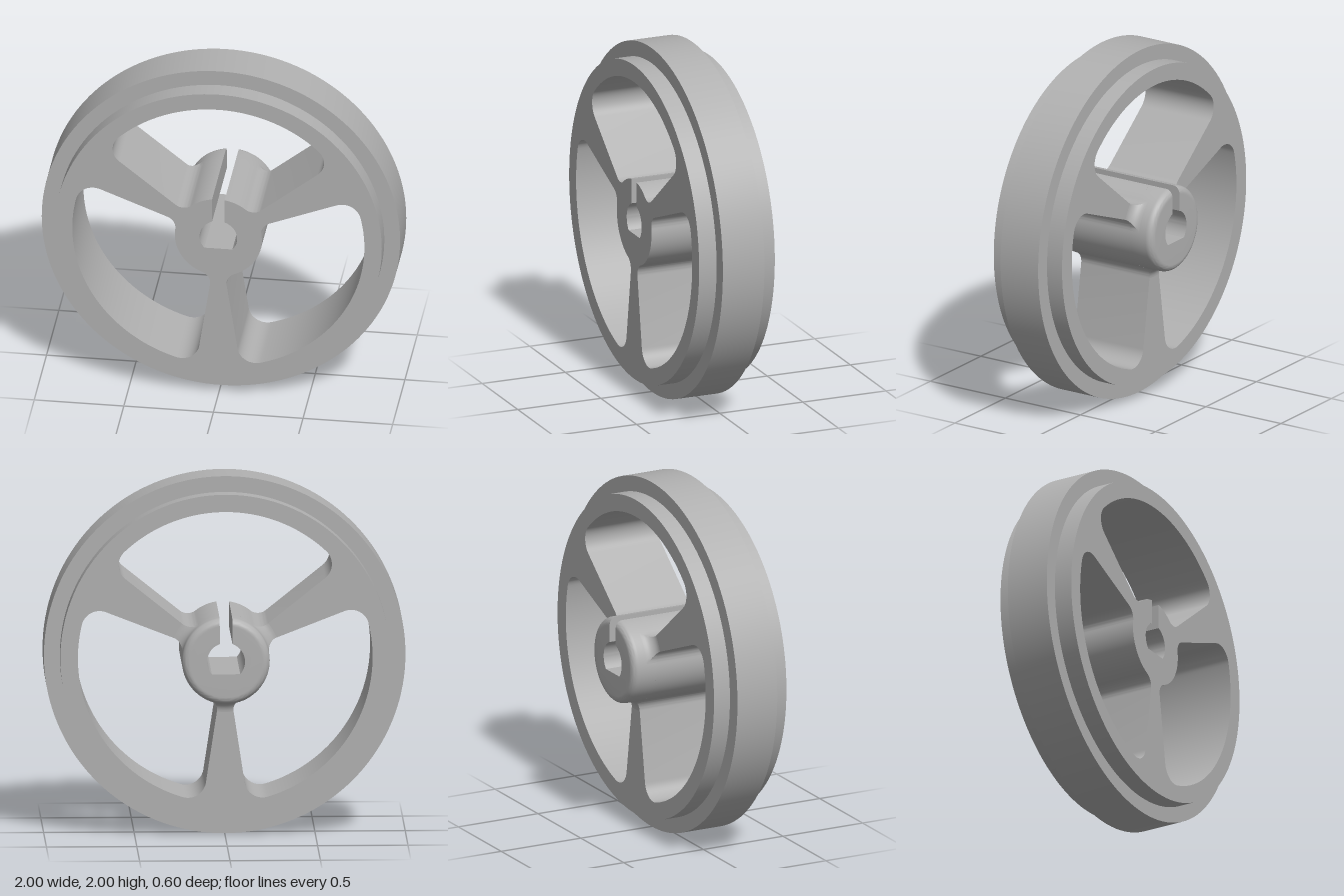
import * as THREE from 'three';
import { toCreasedNormals } from 'three/addons/utils/BufferGeometryUtils.js';

const { sin, cos, asin, acos, sqrt, PI } = Math;
const deg = PI / 180;

const FRONT = 0.3, BACK = -0.155, HUB_BACK = -0.3;
const RIM = 0.912, RIM_IN = 0.815, HUB = 0.243;
const BORE = 0.105, FLAT = 0.07, SLOT = 0.035;
const OUT_FILLET = 0.1, HUB_FILLET = 0.07;
const SPOKE = 8.7 * deg;            // half angle of a spoke
const HALF = 60 * deg - SPOKE;      // half angle of a window
const HUB_D = HUB + HUB_FILLET;
const inOff = asin(HUB_FILLET / HUB_D);
const outD = RIM_IN - OUT_FILLET, outOff = asin(OUT_FILLET / outD);

// points of an arc, appended to a list without repeats
function arc(list, cx, cy, r, a0, a1, n) {
  for (let i = 0; i <= n; i++) {
    const a = a0 + (a1 - a0) * i / n;
    const p = new THREE.Vector2(cx + r * cos(a), cy + r * sin(a));
    if (!list.some(q => q.distanceTo(p) < 1e-6)) list.push(p);
  }
}

// D-shaped bore, open to the slot at the top
function bore(list) {
  const s = PI / 2 + asin(SLOT / BORE), f = PI + asin(FLAT / BORE);
  arc(list, 0, 0, BORE, s, f, 20);
  arc(list, 0, 0, BORE, 3 * PI - f, 3 * PI - s, 20);
}

// opening between two spokes; the top one also takes in the slot and bore
function windowPath(m, slotted) {
  const p = [], L = m + HALF, R = m - HALF;
  const fillet = (a, d, r, a0, a1) => arc(p, d * cos(a), d * sin(a), r, a0, a1, 14);
  arc(p, 0, 0, RIM_IN, R + outOff, L - outOff, 64);
  fillet(L - outOff, outD, OUT_FILLET, L - outOff, L + PI / 2);
  fillet(L - inOff, HUB_D, HUB_FILLET, L + PI / 2, L - inOff + PI);
  if (slotted) {
    const s = asin(SLOT / HUB);
    arc(p, 0, 0, HUB, L - inOff, m + s, 12);
    bore(p);
    arc(p, 0, 0, HUB, m - s, R + inOff, 12);
  } else {
    arc(p, 0, 0, HUB, L - inOff, R + inOff, 28);
  }
  fillet(R + inOff, HUB_D, HUB_FILLET, R + inOff + PI, R + 1.5 * PI);
  fillet(R + outOff, outD, OUT_FILLET, R + 1.5 * PI, R + outOff + 2 * PI);
  return new THREE.Path(p);
}

// skin over a row of equal-length sections, with an optional end cap
function loft(sections, closed, cap) {
  const v = [], add = (...ps) => ps.forEach(p => v.push(p.x, p.y, p.z));
  for (let k = 0; k + 1 < sections.length; k++) {
    const a = sections[k], b = sections[k + 1], n = a.length;
    for (let i = 0; i < (closed ? n : n - 1); i++) {
      const j = (i + 1) % n;
      add(a[i], b[i], a[j], a[j], b[i], b[j]);
    }
  }
  if (cap) {
    const e = sections[sections.length - 1];
    const flat = e.map(p => new THREE.Vector2(p.x, p.y));
    for (const [a, b, c] of THREE.ShapeUtils.triangulateShape(flat, [])) add(e[a], e[c], e[b]);
  }
  const g = new THREE.BufferGeometry();
  g.setAttribute('position', new THREE.Float32BufferAttribute(v, 3));
  return toCreasedNormals(g, 30 * deg);
}

// C-shaped outline of the rear hub, counter-clockwise
function hubSection(r, z) {
  const outer = [], inner = [], s = asin(SLOT / r);
  arc(outer, 0, 0, r, PI / 2 + s, 2.5 * PI - s, 72);
  bore(inner);
  return [...outer, ...inner.reverse()].map(p => new THREE.Vector3(p.x, p.y, z));
}

export function createModel() {
  const group = new THREE.Group();
  const grey = new THREE.MeshStandardMaterial({ color: 0xb0b0b0 });
  grey.name = 'grey metal';
  const add = (name, geometry) => {
    const mesh = new THREE.Mesh(geometry, grey);
    mesh.name = name;
    mesh.position.y = 1;
    group.add(mesh);
    return mesh;
  };

  // wheel body: rim, spokes and hub front in one plate
  const edge = [];
  arc(edge, 0, 0, RIM, 0, 2 * PI, 144);
  const shape = new THREE.Shape(edge);
  [90, 210, 330].forEach((a, i) => shape.holes.push(windowPath(a * deg, i === 0)));
  const body = new THREE.ExtrudeGeometry(shape, { depth: FRONT - BACK, bevelEnabled: false });
  body.translate(0, 0, BACK);
  add('wheelBody', toCreasedNormals(body, 30 * deg));

  // raised tread band
  const profile = [[RIM, -0.055], [1, -0.055], [1, 0.195], [RIM, 0.195]];
  const band = new THREE.LatheGeometry(profile.map(p => new THREE.Vector2(...p)), 144);
  band.rotateX(PI / 2);
  add('treadBand', toCreasedNormals(band, 30 * deg));

  // rear hub with a rounded outer edge
  const round = 0.04, sections = [hubSection(HUB, BACK)];
  for (let i = 0; i <= 8; i++) {
    const t = i / 8 * PI / 2;
    sections.push(hubSection(HUB - round + round * cos(t), HUB_BACK + round - round * sin(t)));
  }
  add('rearHub', loft(sections, true, true));

  // flares blending the rear hub into each spoke
  const end = sqrt(HUB_D ** 2 - HUB_FILLET ** 2), fr = end - HUB;
  const rows = [];
  for (let i = 0; i <= 10; i++) {
    const t = i / 10 * PI / 2, r = end - fr * cos(t), z = BACK - fr + fr * sin(t);
    const c = (r * r + HUB_D ** 2 - HUB_FILLET ** 2) / (2 * r * HUB_D);
    const h = SPOKE + inOff - acos(Math.min(1, c));
    const at = (a, zz) => new THREE.Vector3(r * cos(a), r * sin(a), zz);
    const row = [at(h, BACK)];
    for (let k = 0; k <= 10; k++) row.push(at(h - 2 * h * k / 10, z));
    row.push(at(-h, BACK));
    rows.push(row);
  }
  const flare = loft(rows, false, false);
  for (const a of [30, 150, 270]) add('spokeFlare', flare).rotation.z = a * deg;

  return group;
}
